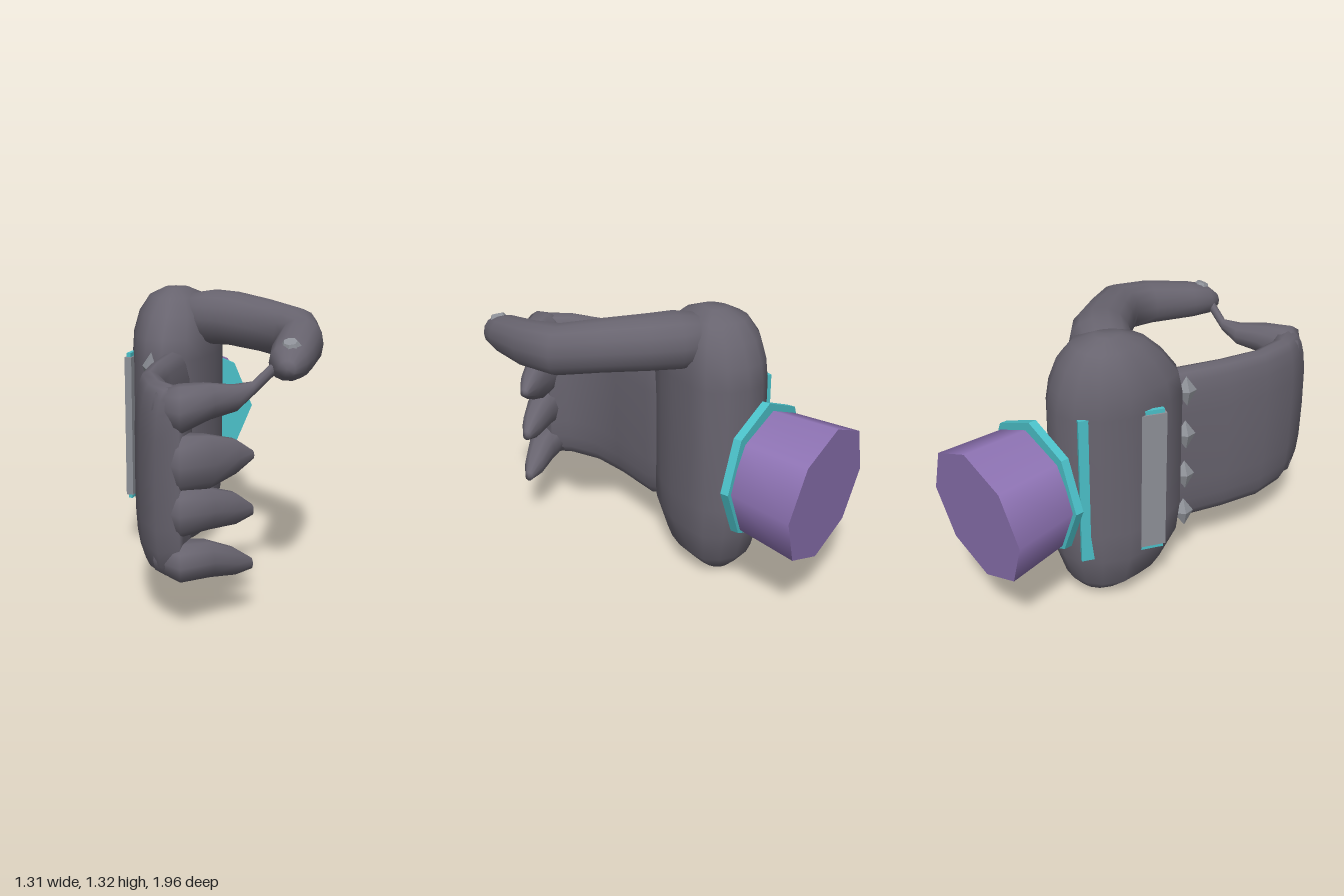
import * as THREE from 'three';

const mat = (name, color, flatShading = false) => {
  const m = new THREE.MeshStandardMaterial({ color, flatShading });
  m.name = name;
  return m;
};

// Skin a series of closed rings, with a fan cap at each end
function loft(rings) {
  const n = rings[0].length, pos = [], idx = [];
  rings.forEach(r => r.forEach(p => pos.push(p.x, p.y, p.z)));
  for (let i = 0; i < rings.length - 1; i++) {
    for (let j = 0; j < n; j++) {
      const a = i * n + j, b = i * n + (j + 1) % n;
      idx.push(a, b, a + n, b, b + n, a + n);
    }
  }
  [0, rings.length - 1].forEach((r, end) => {
    const c = new THREE.Vector3();
    rings[r].forEach(p => c.addScaledVector(p, 1 / n));
    const k = pos.length / 3;
    pos.push(c.x, c.y, c.z);
    for (let j = 0; j < n; j++) {
      const a = r * n + j, b = r * n + (j + 1) % n;
      if (end) idx.push(k, a, b); else idx.push(k, b, a);
    }
  });
  const g = new THREE.BufferGeometry();
  g.setAttribute('position', new THREE.Float32BufferAttribute(pos, 3));
  g.setIndex(idx);
  g.computeVertexNormals();
  return g;
}

// Horizontal sweep; stations are [x, y, z, half thickness, half height]
function sweep(stations, n = 10, power = 1) {
  const up = new THREE.Vector3(0, 1, 0);
  const soft = v => Math.sign(v) * Math.abs(v) ** power;
  return loft(stations.map(([x, y, z, a, b], i) => {
    const p = stations[Math.max(i - 1, 0)], q = stations[Math.min(i + 1, stations.length - 1)];
    const t = new THREE.Vector3(q[0] - p[0], 0, q[2] - p[2]).normalize();
    const side = new THREE.Vector3().crossVectors(up, t);
    return Array.from({ length: n }, (_, j) => {
      const w = j / n * Math.PI * 2;
      return new THREE.Vector3(x, y, z)
        .addScaledVector(side, a * soft(Math.cos(w)))
        .addScaledVector(up, b * soft(Math.sin(w)));
    });
  }));
}

export function createModel() {
  const glove = mat('glove grey', 0x68646f);
  const purple = mat('cuff purple', 0x8f74b5);
  const cyan = mat('trim cyan', 0x4bc0c8, true);
  const metal = mat('metal grey', 0x8d9097, true);
  const model = new THREE.Group();
  model.name = 'glovedHand';
  const add = (name, geometry, material, parent = model) => {
    const m = new THREE.Mesh(geometry, material);
    m.name = name;
    parent.add(m);
    return m;
  };

  // Palm: one plan outline, scaled level by level
  const plan = [[0, -.3], [-.02, -.4], [-.1, -.46], [-.2, -.48], [-.29, -.46], [-.36, -.4],
    [-.41, -.3], [-.42, -.16], [-.375, -.05], [-.32, .06], [-.24, .15], [-.15, .17],
    [-.05, .1], [-.01, -.03], [.01, -.16]];
  const levels = [[0, .25, .2, -.07], [.03, .5, .42, -.04], [.1, .82, .74, -.01], [.25, .97, .95, 0],
    [.4, 1, 1, 0], [1, 1, 1, 0], [1.1, .97, .94, 0], [1.2, .86, .76, -.01],
    [1.28, .62, .52, -.01], [1.32, .25, .2, 0]];
  add('palm', loft(levels.map(([y, sx, sz, dz]) => plan.map(([x, z]) =>
    new THREE.Vector3(-.2 + (x + .2) * sx, y, -.2 + (z + .2) * sz + dz)))), glove);

  // Joined lower part of the four fingers
  add('fingerBase', sweep([[-.15, .64, -.02, .09, .36], [-.1, .64, .15, .085, .41],
    [-.075, .64, .42, .075, .41], [-.035, .64, .63, .07, .41], [.055, .64, .79, .08, .405],
    [.15, .64, .87, .1, .4], [.2, .64, .87, .08, .37]], 20, .65), glove);

  // Curled finger ends: y and half height at each station
  const curl = [[.1, .84, .07], [.18, .875, .105], [.265, .785, .075], [.355, .69, .052], [.415, .63, .02]];
  const fingers = [
    [[.95, .08], [.95, .1], [.97, .075], [.97, .055], [1, .03]],
    [[.73, .09], [.73, .12], [.72, .115], [.725, .075], [.72, .02]],
    [[.53, .09], [.53, .11], [.52, .09], [.5, .07], [.48, .025]],
    [[.31, .07], [.31, .085], [.3, .08], [.265, .06], [.24, .025]],
  ];
  fingers.forEach((f, k) => {
    const path = curl.map(([x, z, a], i) => [x, f[i][0], z, a, f[i][1]]);
    // The index finger runs on into a thin web to the thumb
    if (k === 0) path.push([.51, 1.1, .585, .02, .03]);
    add('finger' + (k + 1), sweep(path, 10, .85), glove);
  });

  // Thumb
  add('thumb', sweep([[-.2, 1.17, -.2, .12, .11], [0, 1.183, -.165, .15, .132], [.12, 1.183, -.13, .14, .128],
    [.3, 1.17, -.03, .125, .122], [.47, 1.15, .075, .115, .118], [.53, 1.135, .25, .1, .11],
    [.545, 1.115, .48, .095, .092], [.55, 1.105, .58, .08, .075], [.56, 1.09, .64, .035, .035]], 14, .9), glove);

  // Thumb stud
  const stud = add('thumbStud', new THREE.CylinderGeometry(.03, .06, .05, 7), metal);
  stud.position.set(.555, 1.17, .555);
  stud.rotation.x = .4;

  // Knuckle studs
  for (const y of [.98, .75, .53, .315]) {
    const k = add('knuckleStud', new THREE.OctahedronGeometry(1), metal);
    k.scale.set(.035, .072, .05);
    k.position.set(-.205, y, .185);
    k.rotation.z = -.15;
  }

  // Plate on the back of the hand
  add('backPlate', new THREE.BoxGeometry(.035, .7, .12), metal).position.set(-.378, .64, -.04);
  add('backPlateTrim', new THREE.BoxGeometry(.02, .74, .4), cyan).position.set(-.378, .64, -.19);

  // Cuff and its trim, set behind the wrist
  const cuff = new THREE.Group();
  cuff.name = 'cuff';
  cuff.position.set(-.237, .64, -.558);
  cuff.rotation.y = .392;
  model.add(cuff);
  add('cuffTrim', new THREE.CylinderGeometry(.325, .325, .04, 8).rotateX(Math.PI / 2), cyan, cuff);
  const sleeve = add('cuffSleeve', new THREE.CylinderGeometry(.3, .33, .32, 8).rotateX(Math.PI / 2), purple, cuff);
  sleeve.position.set(0, -.02, -.168);
  sleeve.rotation.x = -.1;

  return model;
}
